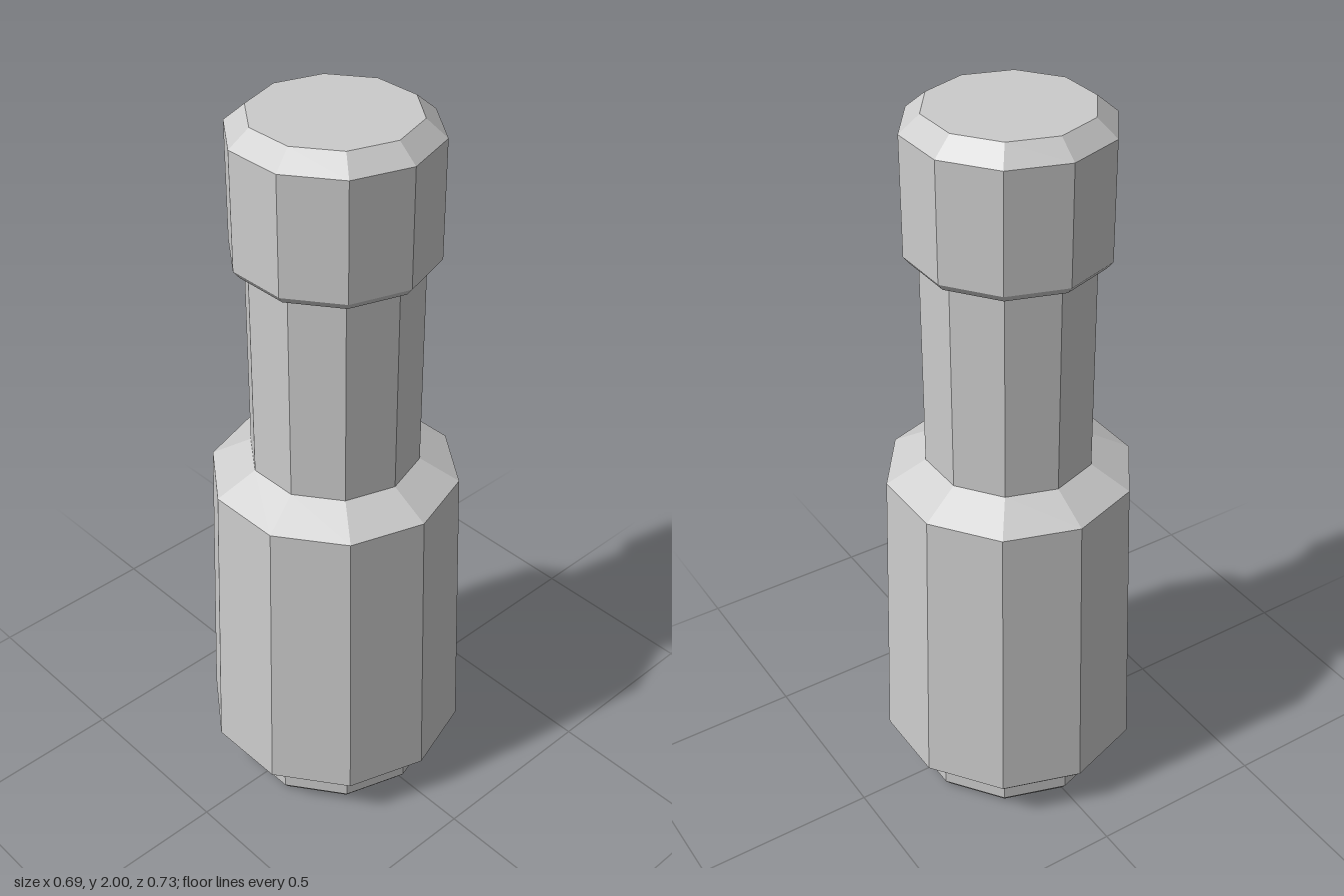
import * as THREE from 'three';

const SIDES = 10;

export function createModel() {
  const group = new THREE.Group();
  const material = new THREE.MeshStandardMaterial({ color: 0xcccccc, flatShading: true });

  // Ten-sided turned part; profile is [radius, height] with the solid on its left
  const turned = (name, profile) => {
    const points = profile.map(([r, y]) => new THREE.Vector2(r, y));
    const mesh = new THREE.Mesh(new THREE.LatheGeometry(points, SIDES), material);
    mesh.name = name;
    group.add(mesh);
  };

  // Hollow foot: bore ceiling, bore wall, chamfered rim, outer wall
  turned('hollowFoot', [
    [0, 0.6], [0.225, 0.6], [0.225, 0.02], [0.238, 0],
    [0.277, 0], [0.293, 0.02], [0.293, 0.1],
  ]);

  // Tapered body with chamfered bottom and sloping shoulder
  turned('body', [[0.293, 0.1], [0.335, 0.1], [0.363, 0.13], [0.335, 0.98], [0.228, 1.04]]);

  // Straight neck
  turned('neck', [[0.228, 1.04], [0.228, 1.62]]);

  // Chamfered cap
  turned('cap', [[0.228, 1.62], [0.25, 1.62], [0.266, 1.64], [0.266, 1.955], [0.213, 2], [0, 2]]);

  return group;
}
